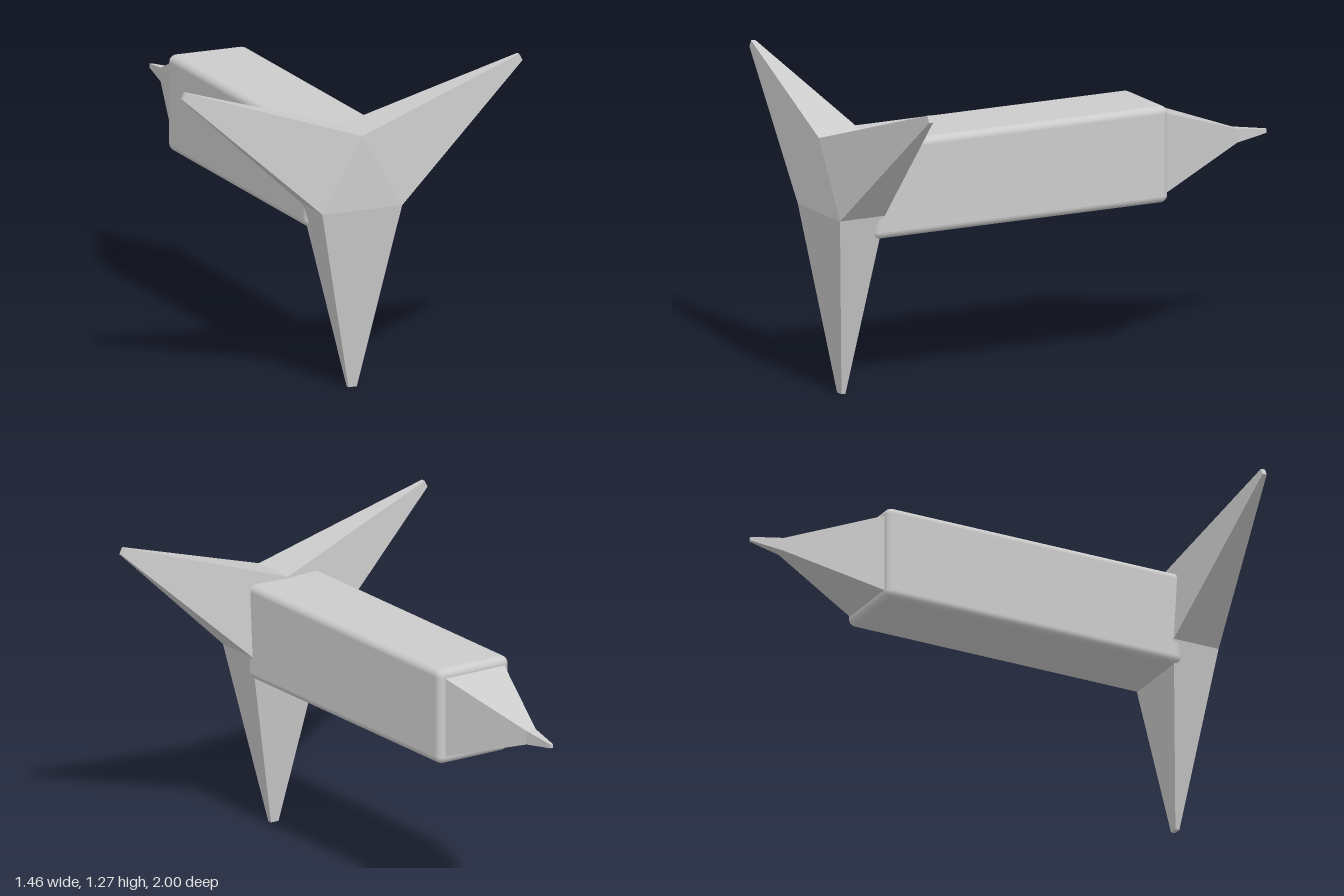
import * as THREE from 'three';
import { RoundedBoxGeometry } from 'three/addons/geometries/RoundedBoxGeometry.js';

const flat = new THREE.MeshStandardMaterial({ color: 0xcccccc, flatShading: true });
const smooth = new THREE.MeshStandardMaterial({ color: 0xcccccc });

// Joins four-cornered rings (counter-clockwise seen from the last ring) and caps both ends.
function loft(rings) {
  const pos = [];
  const quad = (a, b, c, d) => pos.push(...a, ...b, ...c, ...a, ...c, ...d);
  for (let k = 0; k + 1 < rings.length; k++) {
    const A = rings[k], B = rings[k + 1];
    for (let i = 0; i < 4; i++) {
      const j = (i + 1) % 4;
      quad(A[i], A[j], B[j], B[i]);
    }
  }
  quad(...rings[rings.length - 1]);
  quad(...[...rings[0]].reverse());
  const g = new THREE.BufferGeometry();
  g.setAttribute('position', new THREE.Float32BufferAttribute(pos, 3));
  g.computeVertexNormals();
  return g;
}

export function createModel() {
  const model = new THREE.Group();
  const add = (name, geometry, material = flat) => {
    const mesh = new THREE.Mesh(geometry, material);
    mesh.name = name;
    model.add(mesh);
    return mesh;
  };

  // Long body with softly rounded edges
  add('body', new RoundedBoxGeometry(0.34, 0.39, 1.32, 3, 0.03), smooth)
    .position.set(0, 0.838, 0.183);

  // Pointed spike at the back: half width, half height, z
  const spike = [[0.145, 0.165, -0.465], [0.022, 0.028, -0.86], [0.006, 0.008, -1]];
  add('spike', loft(spike.map(([w, h, z]) =>
    [[w, -h], [-w, -h], [-w, h], [w, h]].map(([x, y]) => [x, 0.838 + y, z]))));

  // Triangular hub at the front
  const hub = [[0, 1.04], [-0.172, 0.74], [0.172, 0.74]];
  const shape = new THREE.Shape(hub.map(([x, y]) => new THREE.Vector2(x, y)));
  add('hub', new THREE.ExtrudeGeometry(shape, { depth: 0.2, bevelEnabled: false }))
    .position.z = 0.8;

  // One tapering arm on each side of the hub
  const tips = [
    ['rightArm', [-0.718, 1.272], [-0.732, 1.245]],
    ['lowerArm', [-0.018, 0], [0.018, 0]],
    ['leftArm', [0.732, 1.245], [0.718, 1.272]],
  ];
  const ring = (p, q, half) => [
    [...p, 0.9 - half], [...q, 0.9 - half], [...q, 0.9 + half], [...p, 0.9 + half],
  ];
  tips.forEach(([name, p, q], i) =>
    add(name, loft([ring(hub[i], hub[(i + 1) % 3], 0.1), ring(p, q, 0.009)])));

  return model;
}
